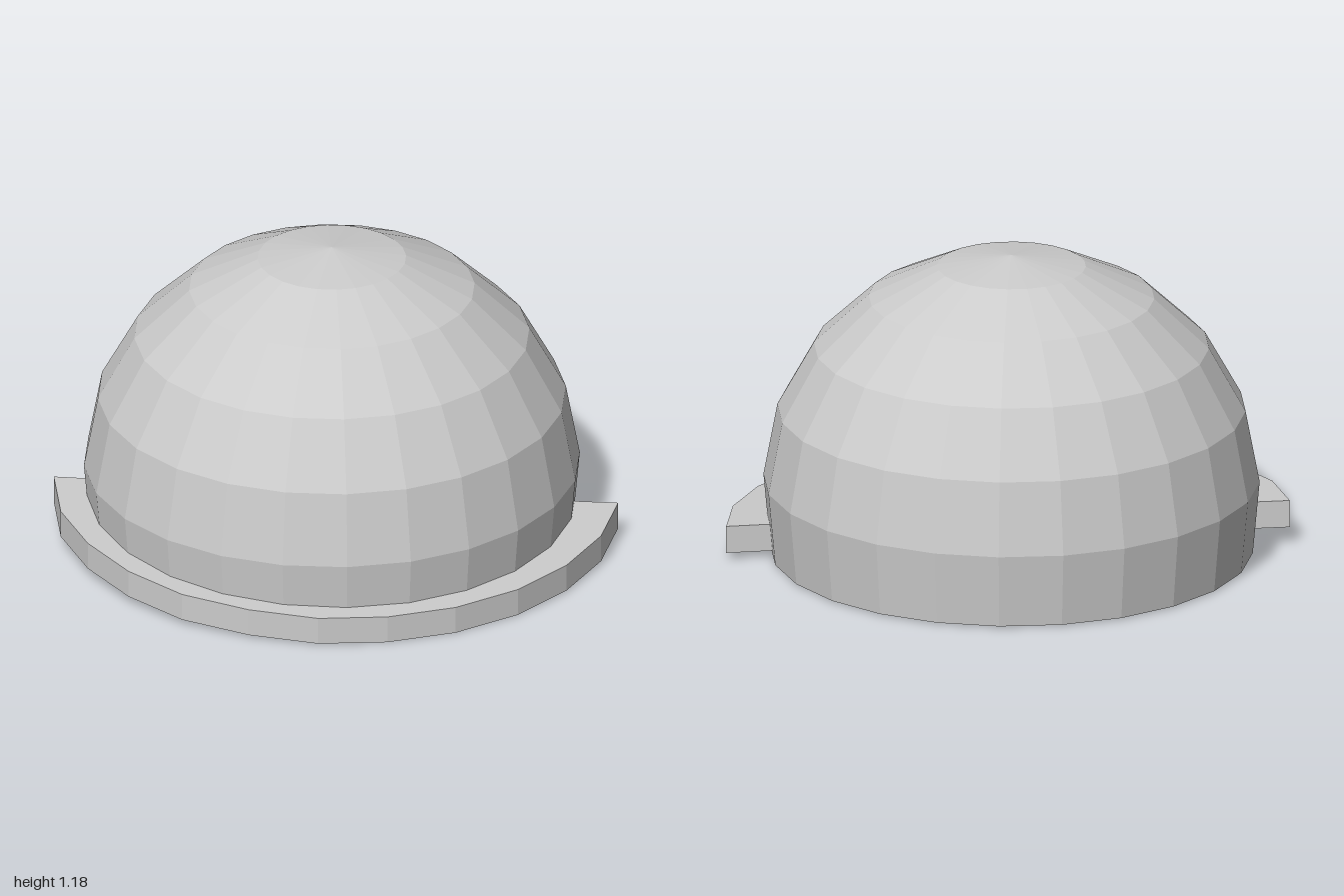
import * as THREE from 'three';

const CX = 0.02, CZ = -0.04; // dome axis

export function createModel() {
  const group = new THREE.Group();
  const material = new THREE.MeshStandardMaterial({ color: 0xcccccc, flatShading: true });

  // Faceted crown with a closed underside
  const profile = [
    [0, 0.006], [0.912, 0.006], [0.938, 0.29], [0.885, 0.57],
    [0.747, 0.818], [0.54, 1.012], [0.281, 1.136], [0, 1.178],
  ].map(([r, y]) => new THREE.Vector2(r, y));
  const start = THREE.MathUtils.degToRad(-3.7);
  const crown = new THREE.Mesh(new THREE.LatheGeometry(profile, 24, start), material);
  crown.name = 'crown';
  crown.position.set(CX, 0, CZ);
  group.add(crown);

  // Brim: outer edge in plan (x, z); inner edge follows the crown
  const outer = [
    [-0.92, -0.515], [-1, -0.25], [-1, 0.02], [-0.94, 0.28], [-0.82, 0.52],
    [-0.63, 0.72], [-0.41, 0.875], [-0.16, 0.955], [0.11, 0.975], [0.385, 0.925],
    [0.63, 0.81], [0.84, 0.64], [1, 0.42],
  ].map(([x, z]) => new THREE.Vector2(x, z));
  const centre = new THREE.Vector2(CX, CZ);
  const inner = outer.map((p) => p.clone().sub(centre).setLength(0.88).add(centre)).reverse();
  const thickness = 0.106;
  const brimGeometry = new THREE.ExtrudeGeometry(new THREE.Shape([...outer, ...inner]), {
    depth: thickness, bevelEnabled: false,
  });
  brimGeometry.rotateX(Math.PI / 2).translate(0, thickness, 0);

  // Tilt the brim so that it rises towards the back
  const pos = brimGeometry.attributes.position;
  for (let i = 0; i < pos.count; i++) {
    pos.setY(i, pos.getY(i) + 0.046 * (0.975 - pos.getZ(i)));
  }
  brimGeometry.computeVertexNormals();
  const brim = new THREE.Mesh(brimGeometry, material);
  brim.name = 'brim';
  group.add(brim);

  return group;
}
